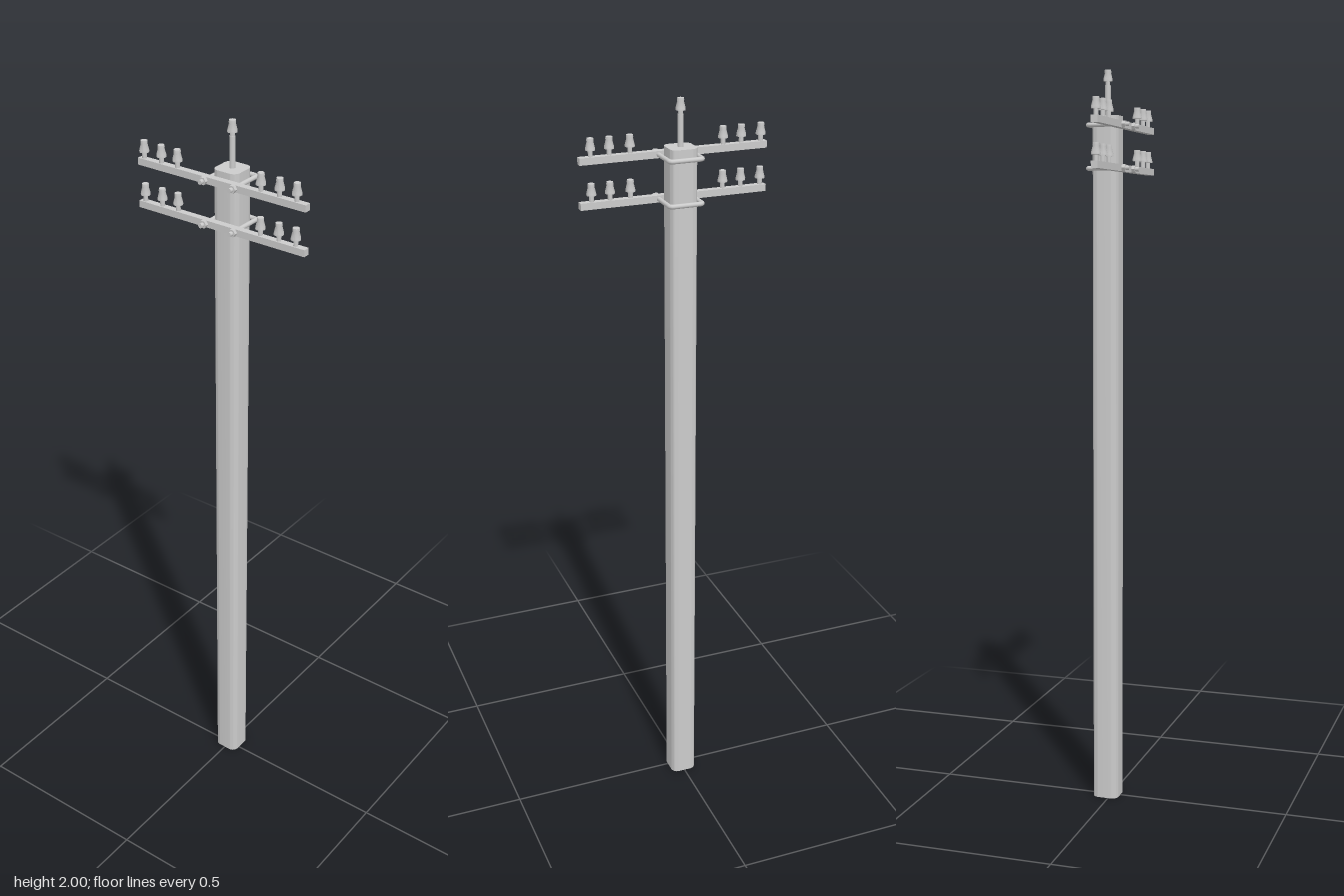
import * as THREE from 'three';
import { toCreasedNormals } from 'three/addons/utils/BufferGeometryUtils.js';

const material = new THREE.MeshStandardMaterial({ color: 0xcccccc });
const POLE_X = 0.0105, POLE_TOP = 1.88;
const ARM_X = -0.035, ARM_SIZE = 0.018;

function add(parent, name, geometry, x = 0, y = 0, z = 0) {
  const mesh = new THREE.Mesh(geometry, material);
  mesh.name = name;
  mesh.position.set(x, y, z);
  parent.add(mesh);
  return mesh;
}

// Square post with rounded corners, extruded upward
function poleGeometry() {
  const h = 0.036, r = 0.018, c = h - r;
  const shape = new THREE.Shape();
  [[c, c], [-c, c], [-c, -c], [c, -c]].forEach(([x, y], i) =>
    shape.absarc(x, y, r, i * Math.PI / 2, (i + 1) * Math.PI / 2, false));
  shape.closePath();
  const geo = new THREE.ExtrudeGeometry(shape, { depth: POLE_TOP, bevelEnabled: false, curveSegments: 4 });
  geo.rotateX(-Math.PI / 2);
  return toCreasedNormals(geo, 0.6);
}

// Insulator: short stem, flared skirt, tapered body and a small head
function insulatorGeometry() {
  const profile = [[0, 0], [0.006, 0], [0.006, 0.016], [0.0125, 0.016], [0.0125, 0.021],
    [0.0085, 0.037], [0.009, 0.04], [0.0085, 0.046], [0, 0.046]];
  const geo = new THREE.LatheGeometry(profile.map(([x, y]) => new THREE.Vector2(x, y)), 16);
  return toCreasedNormals(geo, 0.6);
}

// U-bolt running round the pole, legs passing through the arm
function uBoltGeometry() {
  const V = (x, z) => new THREE.Vector3(x, 0, z);
  const end = -0.063, back = 0.054, w = 0.044, r = 0.01;
  const path = new THREE.CurvePath();
  path.add(new THREE.LineCurve3(V(end, -w), V(back - r, -w)));
  path.add(new THREE.QuadraticBezierCurve3(V(back - r, -w), V(back, -w), V(back, -w + r)));
  path.add(new THREE.LineCurve3(V(back, -w + r), V(back, w - r)));
  path.add(new THREE.QuadraticBezierCurve3(V(back, w - r), V(back, w), V(back - r, w)));
  path.add(new THREE.LineCurve3(V(back - r, w), V(end, w)));
  return new THREE.TubeGeometry(path, 80, 0.006, 10, false);
}

export function createModel() {
  const model = new THREE.Group();
  model.name = 'utilityPole';
  add(model, 'pole', poleGeometry(), POLE_X);

  // Top pin and insulator
  const insulator = insulatorGeometry();
  add(model, 'topPin', new THREE.CylinderGeometry(0.0075, 0.0075, 0.08, 16), POLE_X, POLE_TOP + 0.04);
  add(model, 'topInsulator', insulator, POLE_X, 1.954);

  // Two identical crossarms with insulators and U-bolt clamps
  const armGeo = new THREE.BoxGeometry(ARM_SIZE, ARM_SIZE, 0.502);
  const uBolt = uBoltGeometry();
  const nut = new THREE.CylinderGeometry(0.0105, 0.0105, 0.01, 6).rotateZ(Math.PI / 2).toNonIndexed();
  nut.computeVertexNormals();
  const tip = new THREE.CylinderGeometry(0.006, 0.006, 0.002, 10).rotateZ(Math.PI / 2);
  for (const [name, y] of [['upperCrossarm', 1.855], ['lowerCrossarm', 1.742]]) {
    const arm = new THREE.Group();
    arm.name = name;
    arm.position.y = y;
    model.add(arm);
    add(arm, 'crossarmBeam', armGeo, ARM_X);
    for (const z of [-0.237, -0.183, -0.133, 0.117, 0.171, 0.22])
      add(arm, 'insulator', insulator, ARM_X, ARM_SIZE / 2, z);
    add(arm, 'uBolt', uBolt);
    for (const z of [-0.044, 0.044]) {
      add(arm, 'nut', nut, -0.048, 0, z);
      add(arm, 'boltEnd', tip, -0.062, 0, z);
    }
  }
  return model;
}
